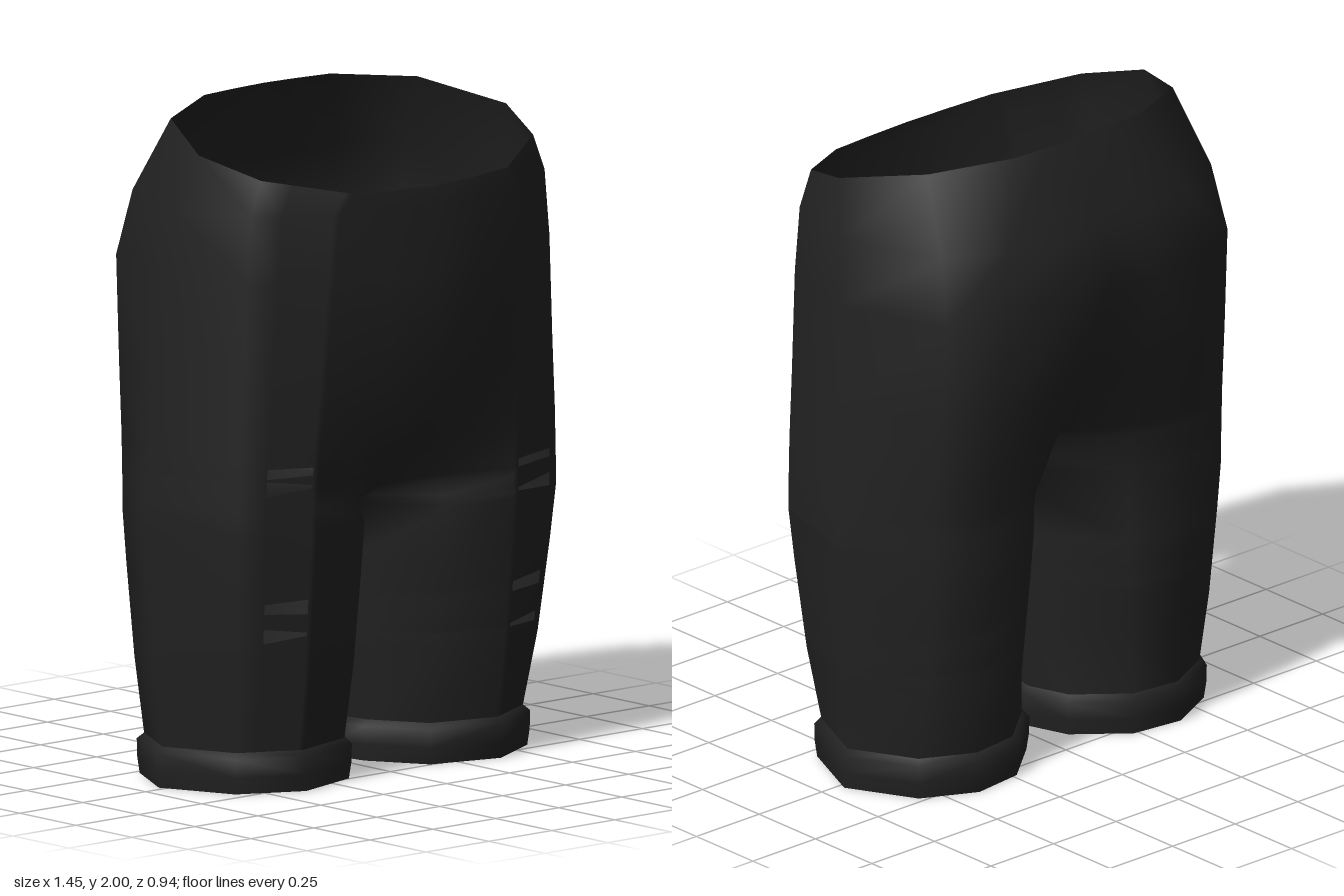
import * as THREE from 'three';
import { mergeVertices } from 'three/addons/utils/BufferGeometryUtils.js';

// Half cross-sections [x, z], from front centre round the outside to back centre;
// from the crotch down a last inner-thigh point closes the leg.
const waist = [[0, .455], [.15, .445], [.31, .425], [.54, .28], [.61, .08], [.49, -.18], [.25, -.3], [.12, -.31], [0, -.315]];
const hips = [[0, .465], [.18, .45], [.37, .415], [.6, .285], [.68, 0], [.56, -.345], [.4, -.43], [.17, -.47], [0, -.455]];
const thigh = [[0, .1], [.165, .32], [.39, .36], [.63, .28], [.725, -.04], [.575, -.3], [.4, -.36], [.19, -.32], [0, -.05], [0, .03]];
const ankle = [[.07, .07], [.17, .235], [.385, .295], [.57, .2], [.665, -.02], [.56, -.22], [.4, -.3], [.24, -.28], [.095, -.16], [.05, -.03]];
const crotchY = 0.79;

// Section part-way between two outlines
const blend = (a, b, t) => a.map(([x, z], i) => [x + t * (b[i][0] - x), z + t * (b[i][1] - z)]);

// Section between hips and thigh with its own front and back seam depth
function seamed(t, front, back) {
  const p = blend(hips, thigh, t);
  p[0][1] = front;
  p[1][1] = (front + p[2][1]) / 2;
  p[8][1] = back;
  return p;
}

const place = (y, p) => p.map(([x, z]) => new THREE.Vector3(x, y, z));
const sections = [
  // The waist rises towards the back
  { y: 1.92, points: waist.map(([x, z]) => new THREE.Vector3(x, 1.936 - .24 * z - .12 * z * z, z)) },
  ...[
    [1.75, blend(waist, hips, .7)],
    [1.55, hips],
    [1.24, seamed(.45, .465, -.37)],
    [1.02, seamed(.85, .34, -.22)],
    [.86, seamed(1, .2, -.09)],
    [crotchY, thigh],
    [.63, blend(thigh, ankle, .18)],
    [.35, blend(thigh, ankle, .55)],
    [.12, ankle],
  ].map(([y, p]) => ({ y, points: place(y, p) })),
];

// Rips in the front-outer panel: [height, opening at inner end, opening at outer end]
const halves = [
  { side: 1, from: .12, to: .85, rips: [[.895, .025, .025], [.815, .01, .04], [.518, .03, .04], [.4, .01, .03]] },
  { side: -1, from: .07, to: .65, rips: [[.975, .025, .03], [.93, .01, .045], [.563, .045, .03], [.479, .01, .045]] },
];

// Point of a section at a fractional column
function onSection({ points }, c) {
  const i = Math.floor(c);
  return points[i].clone().lerp(points[Math.min(i + 1, points.length - 1)], c - i);
}

// Point of the surface at height y, between two neighbouring sections
function onSurface(y, c) {
  const k = sections.findIndex(s => s.y <= y);
  const above = sections[k - 1], below = sections[k];
  return onSection(below, c).lerp(onSection(above, c), (y - below.y) / (above.y - below.y));
}

// Adds a quad (a b over d e), mirrored for the -x side
function addQuad(out, side, a, b, d, e) {
  const corners = side > 0 ? [a, d, b, b, d, e] : [a, b, d, b, e, d];
  for (const v of corners) out.push(side * v.x, v.y, v.z);
}

function smoothGeometry(positions) {
  const raw = new THREE.BufferGeometry();
  raw.setAttribute('position', new THREE.Float32BufferAttribute(positions, 3));
  const geometry = mergeVertices(raw, 1e-4);
  geometry.computeVertexNormals();
  return geometry;
}

// One half of the trousers, leaving the rips open
function addHalf(out, { side, from, to, rips }) {
  const columns = [...thigh.keys()];
  columns.splice(3, 0, 2 + from, 2 + to);
  const rows = sections.map(section => ({ y: section.y, section }));
  for (const [y, inner, outer] of rips) {
    for (const s of [.5, -.5]) {
      rows.push({ y: y + s * (inner + outer) / 2, inner: y + s * inner, outer: y + s * outer, opens: s > 0 });
    }
  }
  rows.sort((m, n) => n.y - m.y);

  const vertex = (row, c) => row.section
    ? onSection(row.section, c)
    : onSurface(c <= 2 + from ? row.inner : c <= 3 ? row.outer : row.y, c);

  for (let r = 0; r < rows.length - 1; r++) {
    const top = rows[r], low = rows[r + 1];
    const count = top.y <= crotchY ? columns.length : columns.length - 2;
    for (let i = 0; i < count; i++) {
      if (top.opens && i === 3) continue;
      const c = columns[i], n = columns[(i + 1) % columns.length];
      addQuad(out, side, vertex(top, c), vertex(top, n), vertex(low, c), vertex(low, n));
    }
  }
}

// Turned-up cuff following the ankle outline: [height, scale] about the leg's axis
function cuffGeometry(side) {
  const out = [], axis = .36;
  const rings = [[.125, .99], [.105, 1.075], [.05, 1.07], [0, 1.045]].map(([y, s]) =>
    place(y, ankle.map(([x, z]) => [axis + (x - axis) * s, z * s])));
  for (let r = 0; r < rings.length - 1; r++) {
    for (let i = 0; i < ankle.length; i++) {
      const n = (i + 1) % ankle.length;
      addQuad(out, side, rings[r][i], rings[r][n], rings[r + 1][i], rings[r + 1][n]);
    }
  }
  return smoothGeometry(out);
}

export function createModel() {
  const group = new THREE.Group();
  group.name = 'rippedShorts';
  const cloth = new THREE.MeshStandardMaterial({ color: 0x222222, side: THREE.DoubleSide });
  cloth.name = 'black cloth';

  // Waist and both legs as one smooth surface
  const positions = [];
  halves.forEach(half => addHalf(positions, half));
  const body = new THREE.Mesh(smoothGeometry(positions), cloth);
  body.name = 'waistAndLegs';
  group.add(body);

  for (const { side } of halves) {
    const cuff = new THREE.Mesh(cuffGeometry(side), cloth);
    cuff.name = side > 0 ? 'leftCuff' : 'rightCuff';
    group.add(cuff);
  }
  return group;
}
